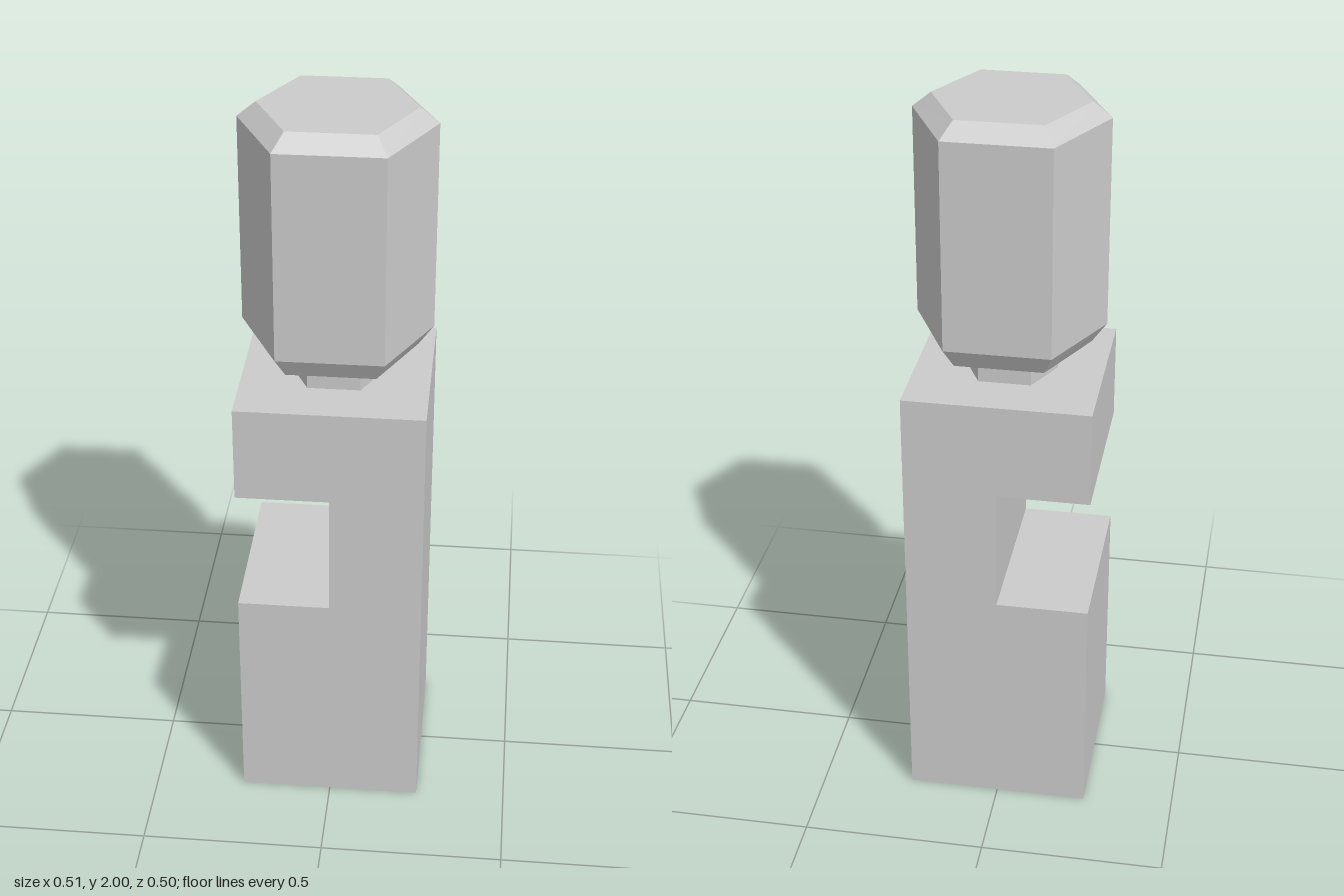
import * as THREE from 'three';

const material = new THREE.MeshStandardMaterial({ color: 0xcccccc, flatShading: true });

function addPart(group, name, geometry) {
  const mesh = new THREE.Mesh(geometry, material);
  mesh.name = name;
  group.add(mesh);
  return mesh;
}

// Six-sided solid through rings of [y, pointX, cornerX, cornerZ], bottom to top
function hexLoft(rings) {
  const loops = rings.map(([y, p, x, z]) =>
    [[p, 0], [x, -z], [-x, -z], [-p, 0], [-x, z], [x, z]].map(([a, b]) => [a, y, b]));
  const points = [];
  for (let r = 0; r < loops.length - 1; r++) {
    for (let i = 0; i < 6; i++) {
      const j = (i + 1) % 6;
      const [a, b, c, d] = [loops[r][i], loops[r][j], loops[r + 1][j], loops[r + 1][i]];
      points.push(...a, ...b, ...c, ...a, ...c, ...d);
    }
  }
  const low = loops[0], high = loops[loops.length - 1];
  for (let i = 1; i < 5; i++) {
    points.push(...low[0], ...low[i + 1], ...low[i]);
    points.push(...high[0], ...high[i], ...high[i + 1]);
  }
  const geometry = new THREE.BufferGeometry();
  geometry.setAttribute('position', new THREE.Float32BufferAttribute(points, 3));
  geometry.computeVertexNormals();
  return geometry;
}

export function createModel() {
  const model = new THREE.Group();
  model.name = 'notchedPost';

  // Square post with a notch cut halfway in from its right side
  const outline = [[-0.25, 0], [0.25, 0], [0.25, 1.255], [-0.25, 1.255],
    [-0.25, 0.99], [0, 0.99], [0, 0.645], [-0.25, 0.645]];
  const shape = new THREE.Shape(outline.map(([x, y]) => new THREE.Vector2(x, y)));
  const body = new THREE.ExtrudeGeometry(shape, { depth: 0.5, bevelEnabled: false });
  addPart(model, 'body', body.translate(0, 0, -0.25));

  // Small bar under the roof of the notch
  addPart(model, 'notchBar', new THREE.BoxGeometry(0.05, 0.055, 0.31))
    .position.set(-0.13, 0.9625, 0);

  // Hexagonal neck and chamfered knob
  addPart(model, 'neck', hexLoft([
    [1.25, 0.125, 0.07, 0.113],
    [1.31, 0.125, 0.07, 0.113],
  ]));
  addPart(model, 'knob', hexLoft([
    [1.305, 0.125, 0.07, 0.113],
    [1.34, 0.213, 0.117, 0.197],
    [1.395, 0.253, 0.14, 0.227],
    [1.96, 0.253, 0.14, 0.227],
    [2, 0.204, 0.112, 0.183],
  ]));

  return model;
}
